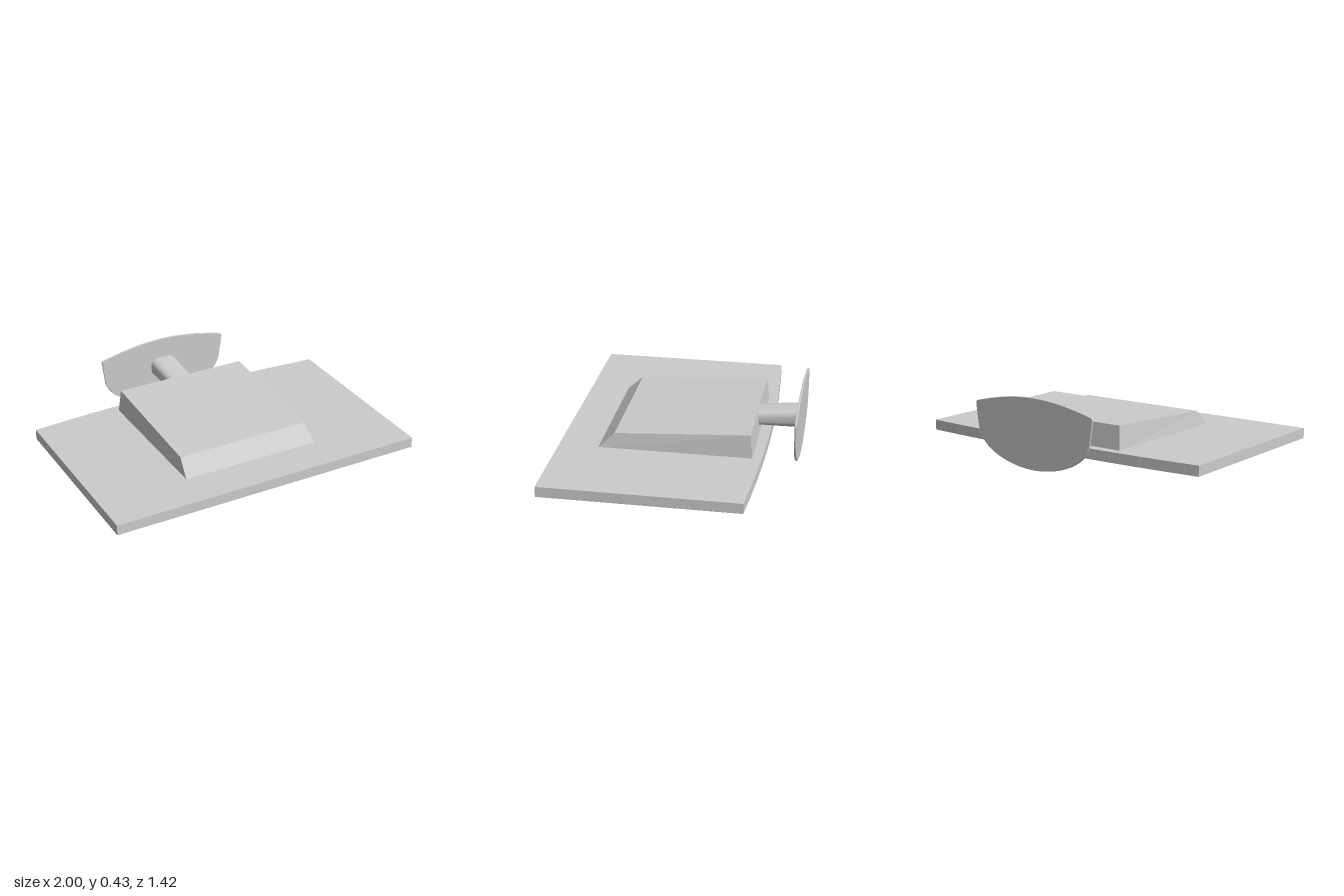
import * as THREE from 'three';

const material = () => new THREE.MeshStandardMaterial({ color: 0xcccccc, side: THREE.DoubleSide });

function part(name, geometry, flat = false) {
  const mesh = new THREE.Mesh(geometry, material());
  mesh.material.flatShading = flat;
  mesh.name = name;
  return mesh;
}

// Tapered tube through superellipse sections {z, y, rx, ry}
function loft(sections, sides = 40, power = 3) {
  const pos = [], index = [];
  const bend = (v) => Math.sign(v) * Math.abs(v) ** (2 / power);
  sections.forEach((s, k) => {
    for (let i = 0; i < sides; i++) {
      const a = (i / sides) * Math.PI * 2;
      pos.push(s.rx * bend(Math.cos(a)), s.y + s.ry * bend(Math.sin(a)), s.z);
      if (k === 0) continue;
      const j = (i + 1) % sides, p = (k - 1) * sides, q = k * sides;
      index.push(p + i, q + j, p + j, p + i, q + i, q + j);
    }
  });
  const g = new THREE.BufferGeometry();
  g.setAttribute('position', new THREE.Float32BufferAttribute(pos, 3));
  g.setIndex(index);
  g.computeVertexNormals();
  return g;
}

export function createModel() {
  const model = new THREE.Group();

  // Wide slab with a gently bowed rear edge
  const slab = new THREE.Shape();
  slab.moveTo(-0.998, -0.71);
  slab.lineTo(0.998, -0.71);
  slab.lineTo(0.998, 0.482);
  slab.quadraticCurveTo(0, 0.567, -0.998, 0.482);
  slab.closePath();
  const slabGeo = new THREE.ExtrudeGeometry(slab, { depth: 0.064, bevelEnabled: false, curveSegments: 10 });
  slabGeo.rotateX(-Math.PI / 2).translate(0, 0.072, 0);
  model.add(part('baseSlab', slabGeo, true));

  // Wedge housing: a box with its corners moved to slope the top, sides and ends
  const housing = new THREE.BoxGeometry(2, 2, 2);
  const p = housing.attributes.position;
  for (let i = 0; i < p.count; i++) {
    const top = p.getY(i) > 0, front = p.getZ(i) > 0;
    p.setXYZ(i,
      p.getX(i) * (top ? 0.427 : 0.441),
      top ? (front ? 0.23 : 0.28) : 0.13,
      front ? (top ? 0.37 : 0.475) : (top ? -0.447 : -0.462));
  }
  model.add(part('wedgeHousing', housing, true));

  // Flaring neck joining the housing to the rear plate
  model.add(part('neck', loft([
    { z: -0.44, y: 0.224, rx: 0.086, ry: 0.05 },
    { z: -0.57, y: 0.231, rx: 0.087, ry: 0.057 },
    { z: -0.707, y: 0.239, rx: 0.088, ry: 0.064 },
  ])));

  // Thin upright plate with an arched top and rounded bottom
  const plate = new THREE.Shape();
  plate.moveTo(0, 0.003);
  plate.bezierCurveTo(0.12, 0.003, 0.23, 0.035, 0.295, 0.07);
  plate.bezierCurveTo(0.38, 0.115, 0.415, 0.17, 0.42, 0.23);
  plate.lineTo(0.437, 0.35);
  plate.quadraticCurveTo(0.438, 0.367, 0.425, 0.372);
  plate.bezierCurveTo(0.26, 0.415, 0.13, 0.434, 0, 0.434);
  plate.bezierCurveTo(-0.13, 0.434, -0.26, 0.415, -0.425, 0.372);
  plate.quadraticCurveTo(-0.438, 0.367, -0.437, 0.35);
  plate.lineTo(-0.42, 0.23);
  plate.bezierCurveTo(-0.415, 0.17, -0.38, 0.115, -0.295, 0.07);
  plate.bezierCurveTo(-0.23, 0.035, -0.12, 0.003, 0, 0.003);
  const plateGeo = new THREE.ExtrudeGeometry(plate, {
    depth: 0.006, bevelEnabled: true, bevelThickness: 0.003, bevelSize: 0.003,
    bevelOffset: -0.003, bevelSegments: 2, curveSegments: 12,
  });
  plateGeo.translate(0, 0, -0.712);
  model.add(part('rearPlate', plateGeo));

  return model;
}
